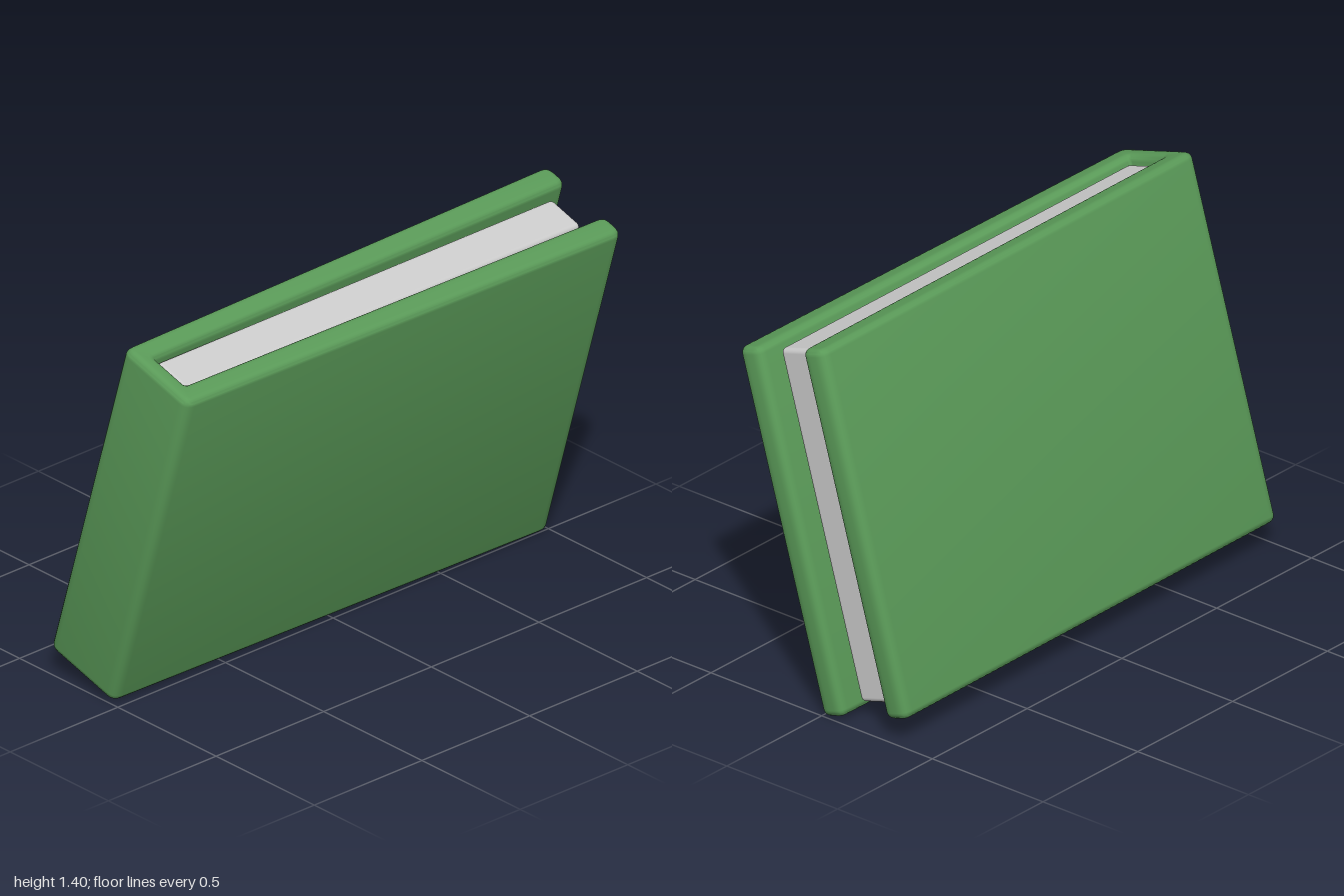
import * as THREE from 'three';
import { toCreasedNormals } from 'three/addons/utils/BufferGeometryUtils.js';
import { RoundedBoxGeometry } from 'three/addons/geometries/RoundedBoxGeometry.js';

// Closed outline through the corners [x, y, radius], each corner rounded.
function roundedOutline(corners) {
  const shape = new THREE.Shape();
  const pts = corners.map(([x, y]) => new THREE.Vector2(x, y));
  const n = pts.length;
  pts.forEach((p, i) => {
    const r = corners[i][2];
    const toward = (q) => q.clone().sub(p).setLength(r).add(p);
    const a = toward(pts[(i + n - 1) % n]);
    const b = toward(pts[(i + 1) % n]);
    if (i === 0) shape.moveTo(a.x, a.y);
    else shape.lineTo(a.x, a.y);
    shape.quadraticCurveTo(p.x, p.y, b.x, b.y);
  });
  shape.closePath();
  return shape;
}

export function createModel() {
  const model = new THREE.Group();
  model.name = 'book';
  const height = 1.352, bevel = 0.025;
  const spineHalf = 0.17, openHalf = 0.201; // half thickness at spine and fore edge
  const spineGap = 0.08, openGap = 0.099;   // half gap between the boards

  // Covers and spine: a slightly flared U extruded along the book's height
  const outline = roundedOutline([
    [-1, -spineHalf, 0.04], [1, -openHalf, 0.04], [1, -openGap, 0.035],
    [-0.93, -spineGap, 0.01], [-0.93, spineGap, 0.01],
    [1, openGap, 0.035], [1, openHalf, 0.04], [-1, spineHalf, 0.04],
  ]);
  const coverGeometry = new THREE.ExtrudeGeometry(outline, {
    depth: height - 2 * bevel, curveSegments: 5,
    bevelEnabled: true, bevelSize: bevel, bevelOffset: -bevel,
    bevelThickness: bevel, bevelSegments: 4,
  });
  coverGeometry.translate(0, 0, -(height - 2 * bevel) / 2).rotateX(-Math.PI / 2);
  const cover = new THREE.Mesh(
    toCreasedNormals(coverGeometry, 0.7),
    new THREE.MeshStandardMaterial({ color: 0x5a9a58 }),
  );
  cover.name = 'cover';

  // Page block
  const pages = new THREE.Mesh(
    new RoundedBoxGeometry(1.84, 1.294, 0.157, 3, 0.018),
    new THREE.MeshStandardMaterial({ color: 0xcccccc }),
  );
  pages.name = 'pages';

  // The whole book leans forward, resting on its lower front edge
  const leaning = new THREE.Group();
  leaning.name = 'leaningBook';
  leaning.add(cover, pages);
  leaning.rotation.x = THREE.MathUtils.degToRad(16.4);
  leaning.position.y = 0.7;
  model.add(leaning);
  return model;
}
